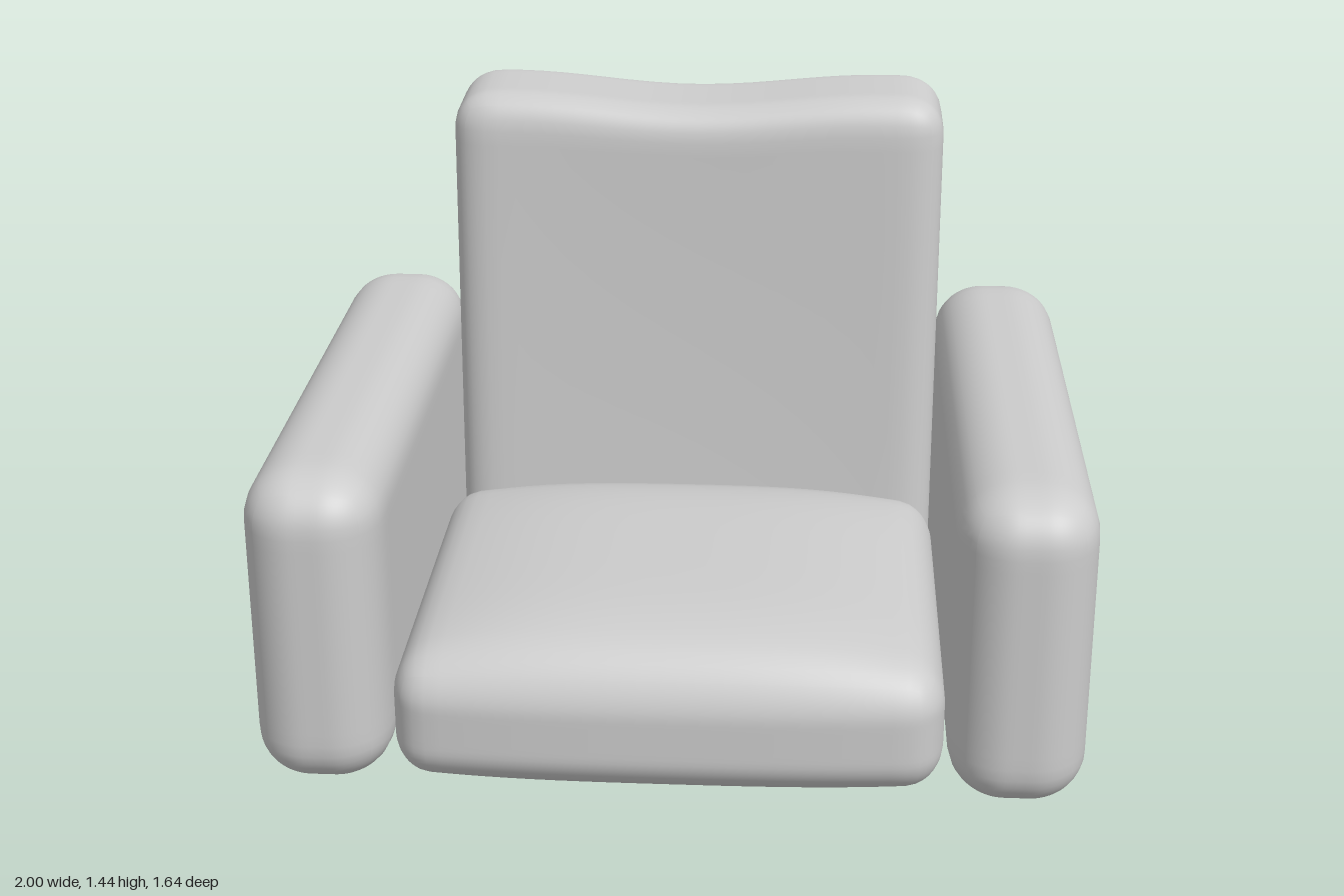
import * as THREE from 'three';
import { mergeVertices } from 'three/addons/utils/BufferGeometryUtils.js';

const material = new THREE.MeshStandardMaterial({ color: 0xcccccc });
const SEGMENTS = 30;

// Soft block between two corners, with a rounding radius per axis.
// warp(p, u) may then shift point p; u is its place in the block, -1..1 per axis.
function cushion(name, min, max, radius, warp) {
  const geometry = new THREE.BoxGeometry(2, 2, 2, SEGMENTS, SEGMENTS, SEGMENTS);
  geometry.deleteAttribute('uv');
  geometry.deleteAttribute('normal');
  const merged = mergeVertices(geometry, 1e-4);
  const pos = merged.attributes.position;
  const p = new THREE.Vector3();
  const u = new THREE.Vector3();
  const d = new THREE.Vector3();
  for (let i = 0; i < pos.count; i++) {
    p.fromBufferAttribute(pos, i);
    for (let a = 0; a < 3; a++) {
      const half = (max[a] - min[a]) / 2;
      // crowd the grid lines towards the rounded edges
      const x = Math.sin(p.getComponent(a) * Math.PI / 2) * half;
      const core = THREE.MathUtils.clamp(x, radius[a] - half, half - radius[a]);
      p.setComponent(a, core);
      d.setComponent(a, (x - core) / radius[a]);
    }
    d.normalize();
    for (let a = 0; a < 3; a++) {
      const half = (max[a] - min[a]) / 2;
      const x = p.getComponent(a) + d.getComponent(a) * radius[a];
      u.setComponent(a, x / half);
      p.setComponent(a, x + (min[a] + max[a]) / 2);
    }
    if (warp) warp(p, u);
    pos.setXYZ(i, p.x, p.y, p.z);
  }
  merged.computeVertexNormals();
  const mesh = new THREE.Mesh(merged, material);
  mesh.name = name;
  return mesh;
}

// Bulge that is full in the middle and fades out at the edges
const bulge = (t, power = 3) => 1 - Math.abs(t) ** power;

// Seat: crowned top, slightly bowed front and underside
function warpSeat(p, u) {
  const up = (u.y + 1) / 2;
  p.y += 0.09 * up * bulge(u.x) * bulge(u.z, 5);
  p.y -= 0.025 * (1 - up) * bulge(u.x) * bulge(u.z, 4);
  p.z += 0.03 * Math.max(0, u.z) * bulge(u.x);
}

// Backrest: leaning, thinner towards the top, dipped top edge, hollow front
function warpBackrest(p, u) {
  const up = (u.y + 1) / 2;
  const front = (u.z + 1) / 2;
  p.z -= up * (0.03 + 0.045 * front);
  p.z -= 0.015 * front * bulge(u.x, 2) * bulge(u.y, 2);
  const x = Math.min(1, Math.abs(p.x) / 0.5);
  const dip = 0.033 * (1 + Math.cos(Math.PI * x)) / 2;
  p.y -= up ** 4 * (dip + 0.02 * front);
}

export function createModel() {
  const group = new THREE.Group();
  group.name = 'armchair';

  // Armrests, the right one set slightly further back
  const armRadius = [0.135, 0.125, 0.15];
  group.add(
    cushion('leftArmrest', [0.67, 0.005, -0.81], [1, 0.815, 0.81], armRadius),
    cushion('rightArmrest', [-1, 0.005, -0.825], [-0.67, 0.813, 0.795], armRadius),
  );

  group.add(
    cushion('seat', [-0.66, 0.04, -0.3], [0.66, 0.345, 0.79], [0.09, 0.1, 0.11], warpSeat),
    cushion('backrest', [-0.635, 0.03, -0.635], [0.66, 1.447, -0.275], [0.11, 0.1, 0.09], warpBackrest),
  );
  return group;
}
